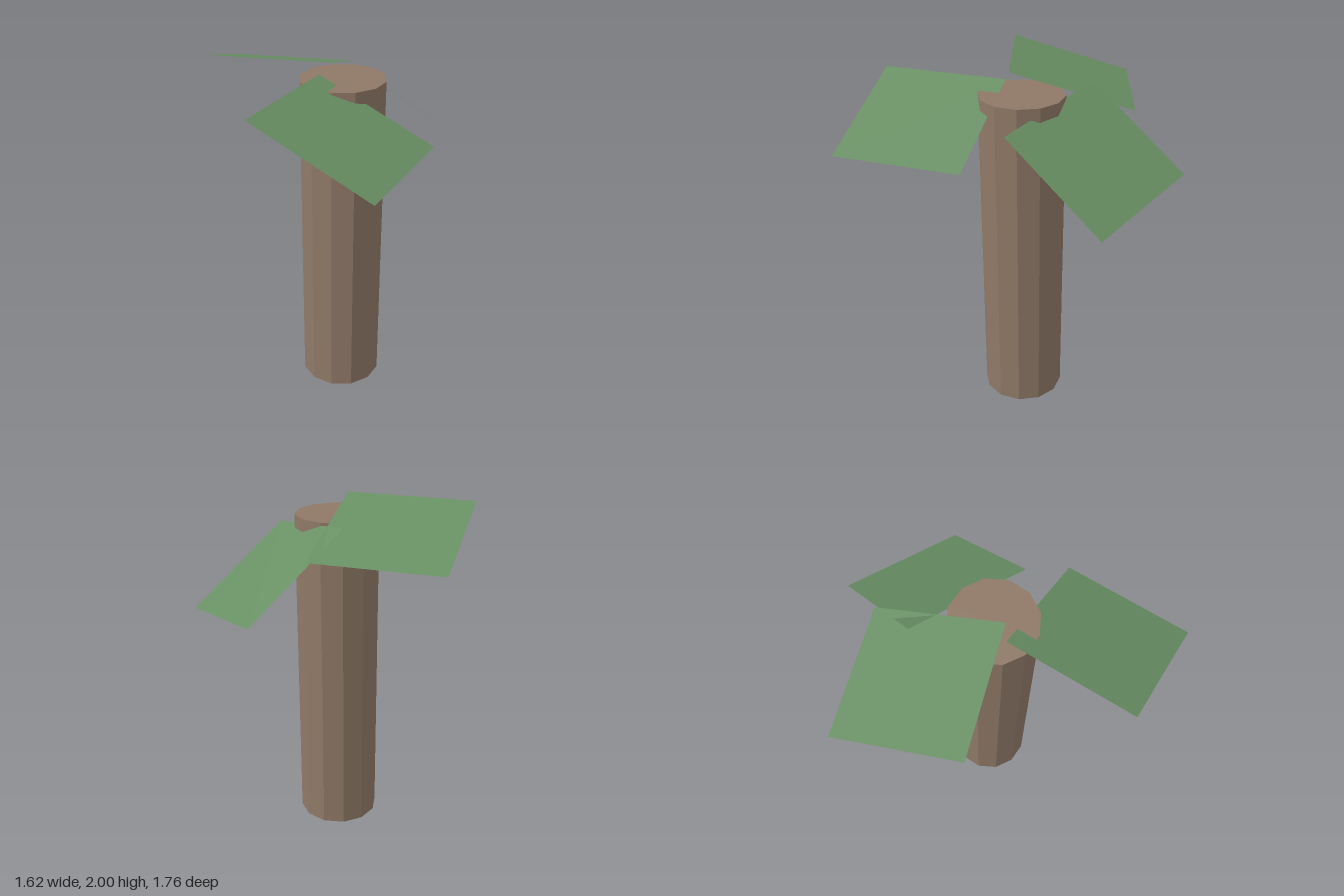
import * as THREE from 'three';

const LEAF_SIZE = 0.708;

// Square leaf lying along the directions u and v, facing upwards
function makeLeaf(name, centre, u, v, material) {
  const uAxis = new THREE.Vector3(...u).normalize();
  const normal = uAxis.clone().cross(new THREE.Vector3(...v)).normalize();
  const vAxis = normal.clone().cross(uAxis);
  const leaf = new THREE.Mesh(new THREE.PlaneGeometry(LEAF_SIZE, LEAF_SIZE), material);
  leaf.name = name;
  leaf.quaternion.setFromRotationMatrix(new THREE.Matrix4().makeBasis(uAxis, vAxis, normal));
  leaf.position.set(...centre);
  return leaf;
}

export function createModel() {
  const model = new THREE.Group();
  model.name = 'palmTree';

  const bark = new THREE.MeshStandardMaterial({ color: 0x8f7967, flatShading: true });
  const green = new THREE.MeshStandardMaterial({
    color: 0x688f63, flatShading: true, side: THREE.DoubleSide,
  });

  // Trunk: straight twelve-sided column
  const trunk = new THREE.Mesh(new THREE.CylinderGeometry(0.236, 0.236, 1.897, 12), bark);
  trunk.name = 'trunk';
  trunk.position.set(0, 0.9485, 0.08);
  model.add(trunk);

  // Crown: three tilted square leaves around the trunk top
  const crown = new THREE.Group();
  crown.name = 'crown';
  crown.add(
    makeLeaf('leftLeaf', [0.478, 1.662, 0.078], [0.585, -0.4, 0], [0.08, 0.115, -0.695], green),
    makeLeaf('backLeaf', [0.002, 1.898, -0.398], [0.395, 0, 0.585], [0.56, -0.205, -0.38], green),
    makeLeaf('frontRightLeaf', [-0.378, 1.803, 0.458], [0.675, 0, -0.21], [-0.195, 0.275, -0.625], green),
  );
  model.add(crown);

  return model;
}
